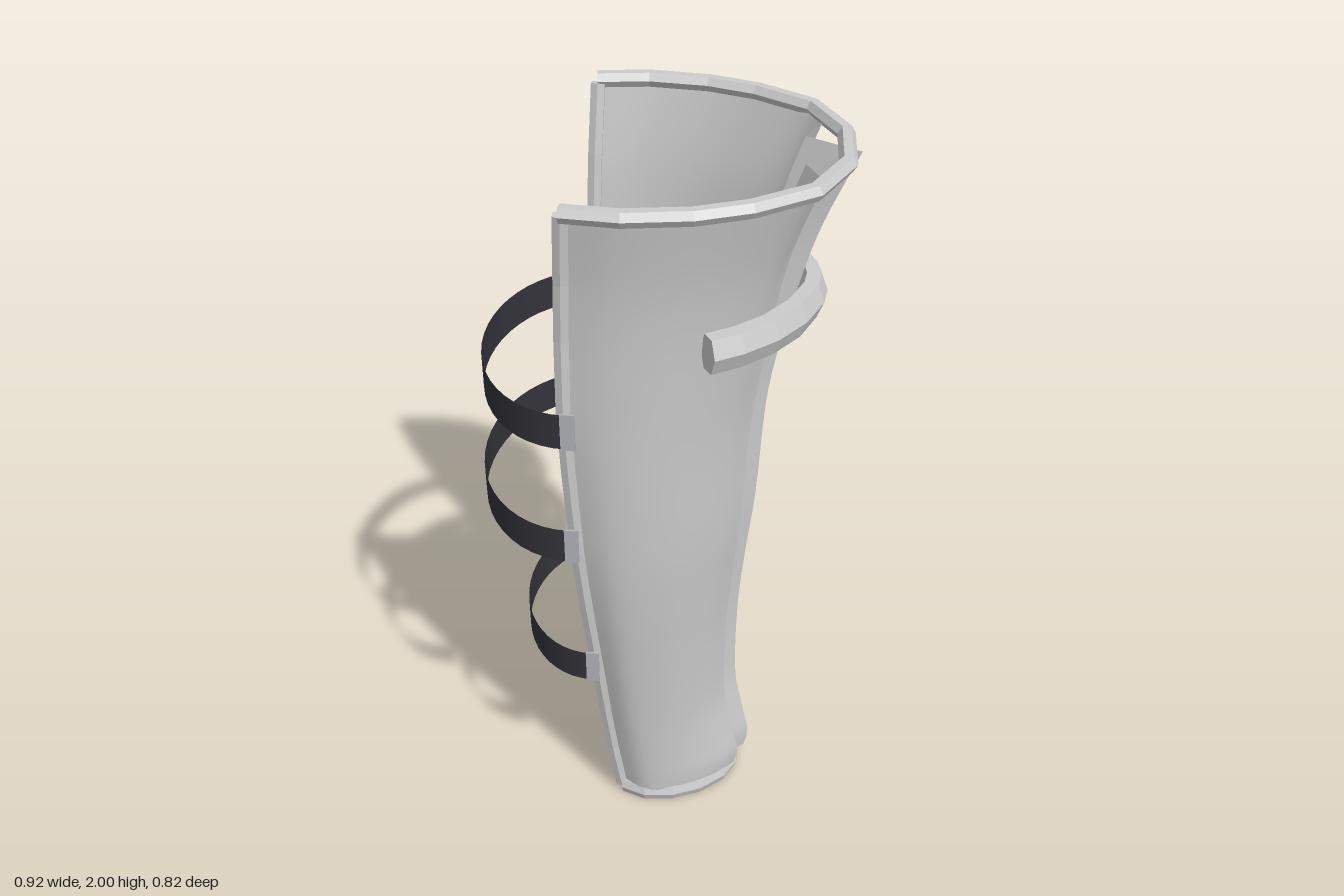
import * as THREE from 'three';

const V = (x, y, z) => new THREE.Vector3(x, y, z);
const lerp = THREE.MathUtils.lerp;
const grey = new THREE.MeshStandardMaterial({ color: 0xcccccc, side: THREE.DoubleSide });
const flatGrey = new THREE.MeshStandardMaterial({ color: 0xcccccc, flatShading: true });
const metal = new THREE.MeshStandardMaterial({ color: 0xb0b0b8, side: THREE.DoubleSide });
const leather = new THREE.MeshStandardMaterial({ color: 0x33333a, side: THREE.DoubleSide });

// Height, open edge x, keel x, half width
const LEVELS = [
  [0.03, -0.105, 0.25, 0.213], [0.1, -0.115, 0.26, 0.218], [0.2, -0.128, 0.24, 0.226],
  [0.35, -0.142, 0.215, 0.243], [0.6, -0.162, 0.215, 0.277], [0.8, -0.178, 0.23, 0.304],
  [1.0, -0.192, 0.25, 0.325], [1.28, -0.203, 0.265, 0.34], [1.45, -0.207, 0.29, 0.346],
  [1.65, -0.203, 0.335, 0.352], [1.8, -0.197, 0.38, 0.363], [1.975, -0.188, 0.455, 0.388],
];

// Loft a grid of points (rows of equal length) into a smooth surface
function loft(rows, closed = false) {
  const n = rows[0].length, idx = [];
  for (let i = 0; i < rows.length - 1; i++)
    for (let j = 0; j < n - (closed ? 0 : 1); j++) {
      const k = (j + 1) % n, a = i * n + j, b = i * n + k, c = a + n, d = b + n;
      idx.push(a, b, c, b, d, c);
    }
  const g = new THREE.BufferGeometry().setFromPoints(rows.flat());
  g.setIndex(idx);
  g.computeVertexNormals();
  return g;
}

// Sweep a closed convex section along a path, with flat end caps
function sweep(path, section, up) {
  const rows = path.map((p, i) => {
    const t = path[Math.min(i + 1, path.length - 1)].clone().sub(path[Math.max(i - 1, 0)]).normalize();
    const a = up.clone().cross(t).normalize(), b = t.clone().cross(a);
    return section.map(([u, v]) => p.clone().addScaledVector(a, u).addScaledVector(b, v));
  });
  const g = loft(rows, true), n = section.length, last = (rows.length - 1) * n, idx = [...g.index.array];
  for (let j = 1; j < n - 1; j++) idx.push(0, j + 1, j, last, last + j, last + j + 1);
  g.setIndex(idx);
  return g;
}

// Six-sided section, wide w and high h, counter-clockwise
const hexSection = (w, h) => [[-w / 2, 0], [-w / 4, -h / 2], [w / 4, -h / 2], [w / 2, 0], [w / 4, h / 2], [-w / 4, h / 2]];

// Half outline of the shell at one level, from open edge to keel
function outline([y, xe, xf, w]) {
  const top = THREE.MathUtils.smoothstep(y, 1.3, 1.97), t = y / 2;
  const at = (u, v) => V(lerp(xe, xf, u), y, w * v);
  const shoulder = at(lerp(0.92, 0.865, top), lerp(0.36, 0.43, top));
  const groove = at(lerp(0.86, 0.8, top), lerp(0.18, 0.2, top));
  const side = new THREE.CatmullRomCurve3([
    at(0, lerp(0.82, 0.95, Math.min(1, t * 1.4))), at(0.2, 1), at(0.43, 0.95),
    at(0.63, 0.81), at(0.81, 0.59), shoulder]).getPoints(20);
  return { side, shoulder, groove, keel: at(1, 0) };
}

// Arched path made from one half and its mirror image
const mirrored = (half, y) => [
  ...half.map(([x, z]) => V(x, y, z)),
  ...half.filter(([, z]) => z > 0).reverse().map(([x, z]) => V(x, y, -z))];

export function createModel() {
  const model = new THREE.Group();
  const add = (name, geometry, material, parent = model) => {
    const m = new THREE.Mesh(geometry, material);
    m.name = name;
    parent.add(m);
    return m;
  };

  // Smooth interpolation of the levels
  const curve = k => new THREE.SplineCurve(LEVELS.map(l => new THREE.Vector2(l[0], l[k])));
  const curves = [curve(1), curve(2), curve(3)];
  const levels = [];
  for (let i = 0; i <= 44; i++) {
    const p = curves.map(c => c.getPoint(i / 44));
    levels.push([p[0].x, ...p.map(q => q.y)]);
  }
  const outlines = levels.map(outline);

  // Shin shell: smooth sides, creased shoulders, grooves and keel
  const shell = new THREE.Group();
  shell.name = 'shinShell';
  model.add(shell);
  for (const s of [1, -1]) {
    const label = s > 0 ? 'Front' : 'Back';
    const flip = p => V(p.x, p.y, p.z * s);
    const strip = (name, pick) => add(name + label, loft(outlines.map(o => {
      const row = pick(o).map(flip);
      return s > 0 ? row : row.reverse();
    })), grey, shell);
    strip('sidePlate', o => o.side);
    strip('grooveWall', o => [o.shoulder, o.groove]);
    strip('keelWall', o => [o.groove, o.keel]);
    // Trim along the open edge
    const edge = outlines.filter((_, i) => i % 4 === 0).map(o => flip(o.side[0]));
    add('edgeTrim' + label, sweep(edge, hexSection(0.032, 0.035), V(1, 0, 0)), flatGrey);
  }

  // Rims at the top and bottom
  const topPath = [[-0.19, 0.376], [-0.06, 0.39], [0.09, 0.37], [0.21, 0.325], [0.345, 0.235], [0.42, 0.085]];
  add('topRim', sweep(mirrored(topPath, 1.982), hexSection(0.044, 0.036), V(0, 1, 0)), flatGrey);
  const bottomPath = [[-0.1, 0.18], [-0.035, 0.205], [0.045, 0.198], [0.12, 0.168], [0.185, 0.115], [0.215, 0.06], [0.215, 0]];
  add('bottomRim', sweep(mirrored(bottomPath, 0.025), hexSection(0.034, 0.05), V(0, 1, 0)), flatGrey);

  // Knee guard bar
  const barPath = [[0.125, 0.318], [0.19, 0.28], [0.26, 0.22], [0.32, 0.14], [0.358, 0.05], [0.365, 0]];
  add('guardBar', sweep(mirrored(barPath, 1.617), hexSection(0.07, 0.09), V(0, 1, 0)), flatGrey);

  // Straps with buckle and end plate: height, reach, half width, buckle z
  for (const [y, reach, w, bz] of [[1.41, -0.45, 0.352, -0.363], [1.08, -0.465, 0.365, -0.378], [0.6, -0.375, 0.285, -0.295]]) {
    const strap = new THREE.Group();
    strap.name = 'strap';
    model.add(strap);
    const x0 = y < 1 ? -0.17 : -0.2, rows = [];
    for (let i = 0; i <= 24; i++) {
      const a = Math.PI * i / 24;
      const x = x0 + (reach - x0) * Math.sin(a), z = w * Math.cos(a);
      rows.push([V(x, y - 0.048, z), V(x, y + 0.048, z)]);
    }
    add('strapBand', loft(rows), leather, strap);
    add('buckle', new THREE.BoxGeometry(0.075, 0.105, 0.055), metal, strap).position.set(x0 - 0.015, y, bz);
    add('strapEndPlate', new THREE.BoxGeometry(0.035, 0.1, 0.006), metal, strap).position.set(x0 + 0.003, y, w);
  }
  return model;
}
